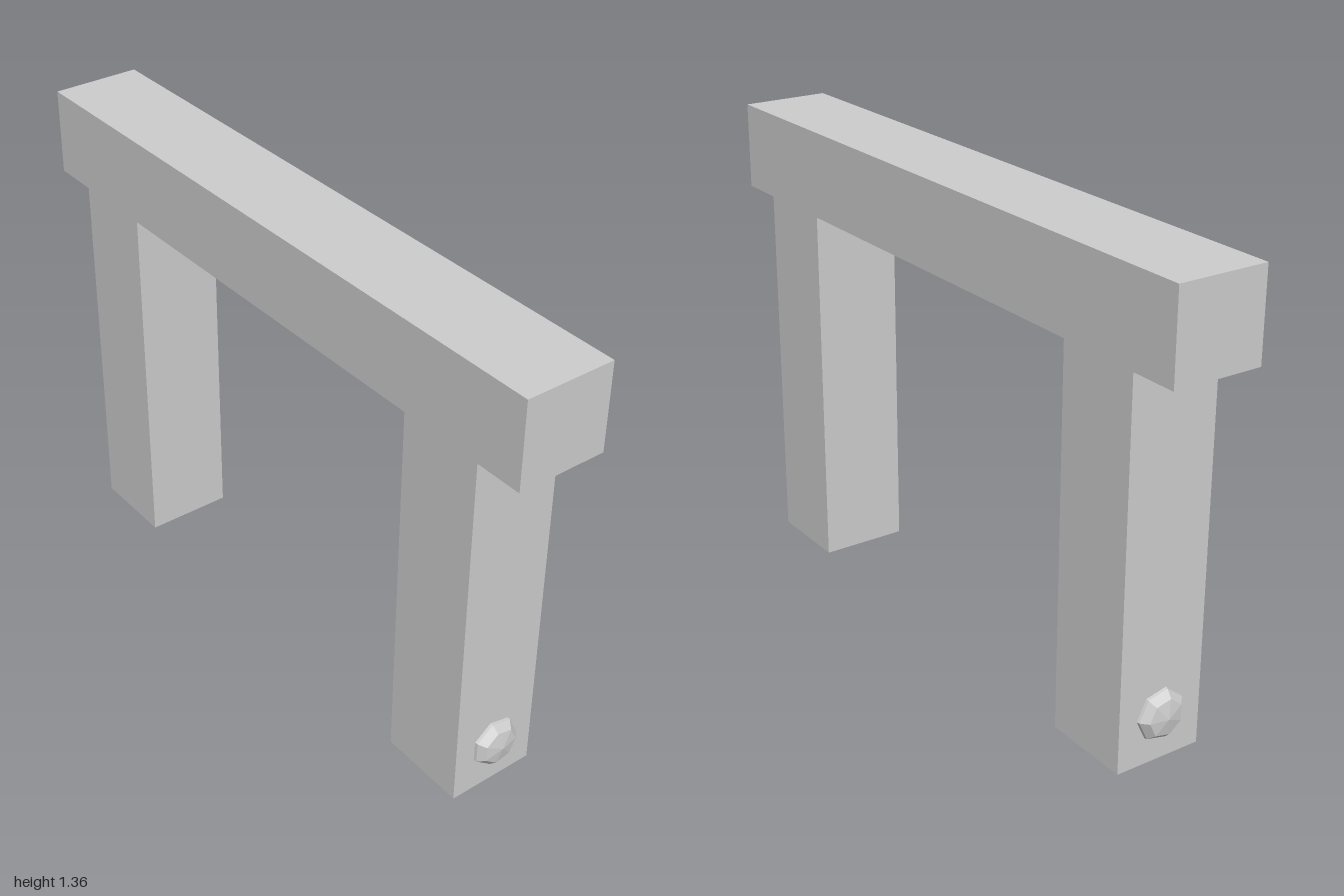
import * as THREE from 'three';

export function createModel() {
  const model = new THREE.Group();
  model.name = 'gateFrame';
  const grey = new THREE.MeshStandardMaterial({ color: 0xcccccc, flatShading: true });
  grey.name = 'plain grey';

  // Frame: right half of the outline, mirrored to make the left half
  const half = [[0.595, 1.105], [0.595, 0], [0.858, 0], [0.858, 1.105], [1, 1.105], [1, 1.36]];
  const outline = [...half, ...half.map(([x, y]) => [-x, y]).reverse()];
  const depth = 0.264;
  const frameGeometry = new THREE.ExtrudeGeometry(
    new THREE.Shape(outline.map(([x, y]) => new THREE.Vector2(x, y))),
    { depth, bevelEnabled: false }
  ).translate(0, 0, -depth / 2);
  const frame = new THREE.Mesh(frameGeometry, grey);
  frame.name = 'frame';
  model.add(frame);

  // Seven-sided domed studs on the outer face of each leg
  const profile = [[0.075, 0], [0.073, 0.008], [0.054, 0.028], [0, 0.038]];
  const studGeometry = new THREE.LatheGeometry(
    profile.map(([r, y]) => new THREE.Vector2(r, y)), 7, Math.PI
  );
  for (const side of [-1, 1]) {
    const stud = new THREE.Mesh(studGeometry, grey);
    stud.name = side > 0 ? 'leftStud' : 'rightStud';
    stud.rotation.z = -side * Math.PI / 2;
    stud.position.set(side * 0.858, 0.136, 0);
    model.add(stud);
  }
  return model;
}
